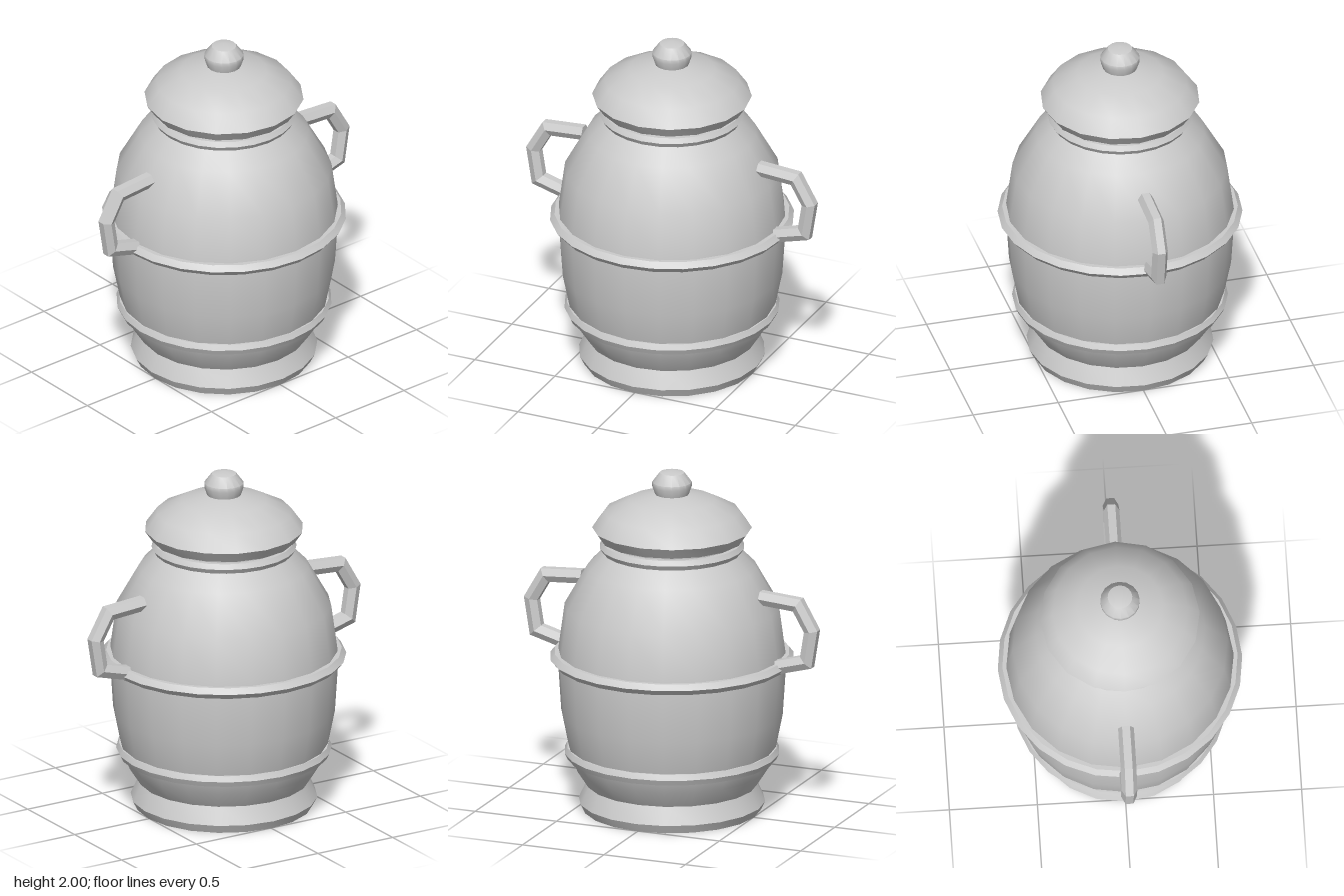
import * as THREE from 'three';
import { toCreasedNormals } from 'three/addons/utils/BufferGeometryUtils.js';

const grey = new THREE.MeshStandardMaterial({ color: 0xcccccc });
const faceted = new THREE.MeshStandardMaterial({ color: 0xcccccc, flatShading: true });

// Turned part from [radius, height] pairs listed bottom to top
function turned(name, profile, sides = 20, crease = 0.62) {
  const points = profile.map(([r, y]) => new THREE.Vector2(r, y));
  const geometry = toCreasedNormals(new THREE.LatheGeometry(points, sides), crease);
  const mesh = new THREE.Mesh(geometry, grey);
  mesh.name = name;
  return mesh;
}

// Raised hoop with a pointed edge, wrapped around the body
function hoop(name, y, inner, edge, rim, half = 0.032) {
  return turned(name, [
    [inner, y - half], [edge, y - half], [rim, y], [edge, y + half], [inner, y + half],
  ], 24);
}

// Hexagonal bar swept along a bent path in the XY plane, with mitred corners
function bentBar(path, radius) {
  const pts = path.map(([x, y]) => new THREE.Vector2(x, y));
  const positions = [];
  const index = [];
  const n = 6;
  pts.forEach((p, i) => {
    const before = pts[Math.max(i - 1, 0)];
    const after = pts[Math.min(i + 1, pts.length - 1)];
    const d1 = i > 0 ? p.clone().sub(before).normalize() : after.clone().sub(p).normalize();
    const d2 = i < pts.length - 1 ? after.clone().sub(p).normalize() : d1.clone();
    const tangent = d1.clone().add(d2).normalize();
    const stretch = 1 / tangent.dot(d1);
    const side = new THREE.Vector2(-tangent.y, tangent.x).multiplyScalar(stretch);
    for (let k = 0; k < n; k++) {
      const a = (k / n) * Math.PI * 2;
      const u = Math.sin(a) * radius;
      positions.push(p.x + side.x * u, p.y + side.y * u, Math.cos(a) * radius);
    }
  });
  for (let i = 0; i < pts.length - 1; i++) {
    for (let k = 0; k < n; k++) {
      const a = i * n + k;
      const b = i * n + ((k + 1) % n);
      index.push(a, a + n, b, b, a + n, b + n);
    }
  }
  // End caps
  const last = (pts.length - 1) * n;
  for (let k = 1; k < n - 1; k++) {
    index.push(0, k, k + 1, last, last + k + 1, last + k);
  }
  const geometry = new THREE.BufferGeometry();
  geometry.setAttribute('position', new THREE.Float32BufferAttribute(positions, 3));
  geometry.setIndex(index);
  geometry.computeVertexNormals();
  return geometry;
}

export function createModel() {
  const group = new THREE.Group();
  group.name = 'liddedJar';

  // Foot and body
  group.add(turned('foot', [[0, 0], [0.505, 0], [0.53, 0.05], [0.485, 0.15], [0, 0.15]]));
  group.add(turned('body', [
    [0.485, 0.15], [0.55, 0.25], [0.585, 0.345], [0.63, 0.57], [0.65, 0.88],
    [0.645, 0.94], [0.61, 1.2], [0.48, 1.43], [0.39, 1.52], [0, 1.52],
  ]));

  // Hoops and neck
  group.add(hoop('lowerHoop', 0.342, 0.56, 0.597, 0.612));
  group.add(hoop('middleHoop', 0.898, 0.62, 0.668, 0.694));
  group.add(hoop('neckRing', 1.55, 0.33, 0.395, 0.412, 0.028));
  group.add(turned('neck', [[0.37, 1.51], [0.37, 1.61]]));

  // Lid and knob
  group.add(turned('lid', [
    [0, 1.597], [0.41, 1.597], [0.453, 1.66], [0.385, 1.755], [0.245, 1.825], [0.1, 1.86], [0, 1.865],
  ], 16));
  group.add(turned('knob', [
    [0.09, 1.84], [0.097, 1.86], [0.112, 1.905], [0.112, 1.93], [0.07, 1.985], [0, 2],
  ], 16, 0.68));

  // Pair of handles, the second turned half way round
  const handleGeometry = bentBar([
    [0.545, 1.308], [0.775, 1.292], [0.86, 1.145], [0.83, 0.96], [0.65, 0.91],
  ], 0.045);
  for (const [name, angle] of [['leftHandle', 0], ['rightHandle', Math.PI]]) {
    const handle = new THREE.Mesh(handleGeometry, faceted);
    handle.name = name;
    handle.rotation.y = angle;
    group.add(handle);
  }
  return group;
}
